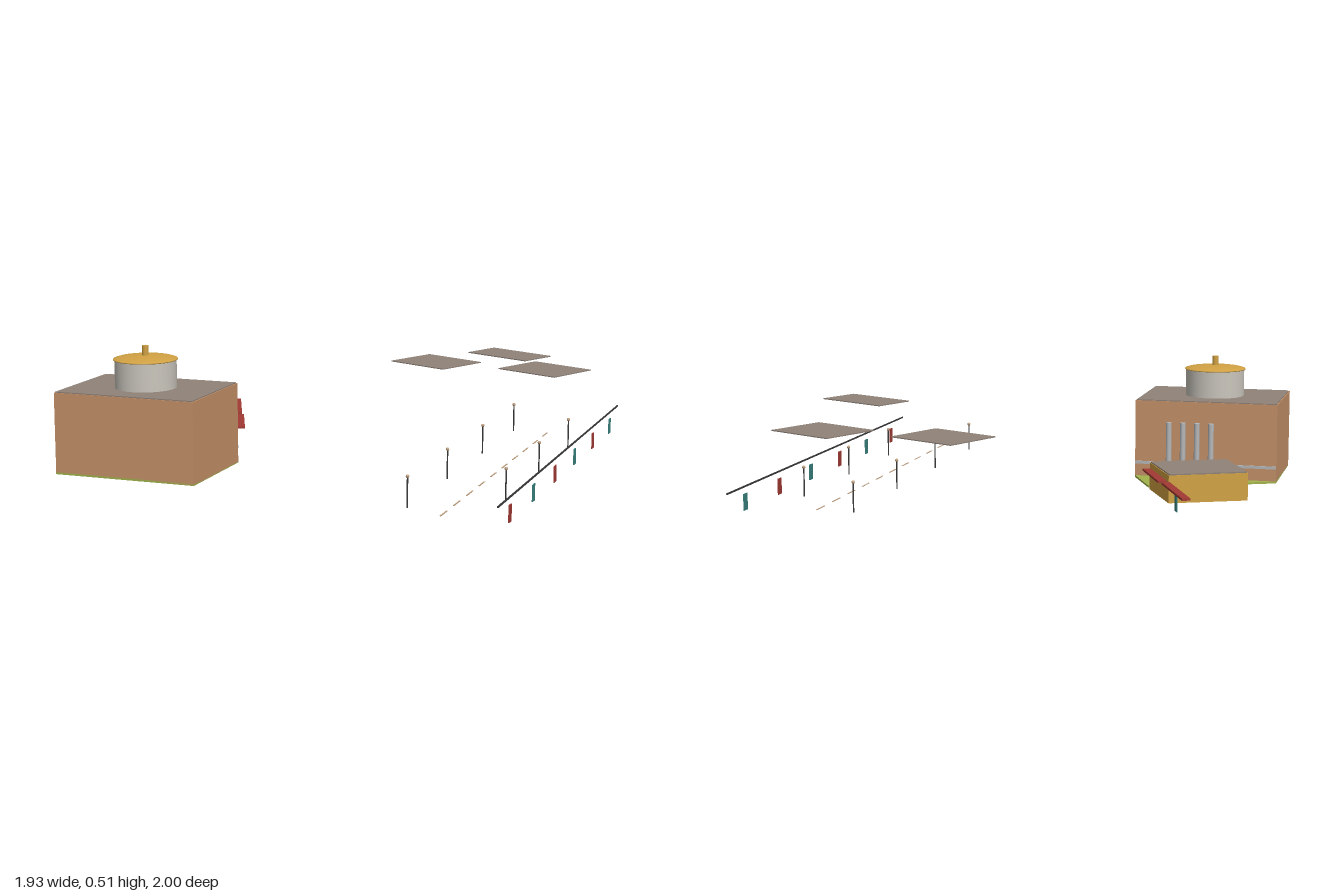
import * as THREE from 'three';

const mat = (name, color) => {
  const m = new THREE.MeshStandardMaterial({ color });
  m.name = name;
  return m;
};

export function createModel() {
  const root = new THREE.Group();
  root.name = 'stationBlock';

  const roofGrey = mat('roof grey', 0x8f8279);
  const brick = mat('brick tan', 0xc69269);
  const gold = mat('gold', 0xd2a244);
  const stone = mat('pale stone', 0xcac6bd);
  const lawn = mat('lawn green', 0xa2b34c);
  const red = mat('awning red', 0xa33a34);
  const teal = mat('banner teal', 0x3a8480);
  const dark = mat('dark metal', 0x3c3a3a);
  const silver = mat('silver', 0xb6b8ba);
  const tan = mat('lamp tan', 0xc0a080);

  const add = (name, geometry, material, x = 0, y = 0, z = 0, parent = root) => {
    const mesh = new THREE.Mesh(geometry, material);
    mesh.name = name;
    mesh.position.set(x, y, z);
    parent.add(mesh);
    return mesh;
  };

  // Flat prism from ground-plan corners [x, z] between two heights
  const slab = (name, corners, y0, y1, material, parent = root) => {
    const shape = new THREE.Shape(corners.map(([x, z]) => new THREE.Vector2(x, -z)));
    const geometry = new THREE.ExtrudeGeometry(shape, { depth: y1 - y0, bevelEnabled: false });
    geometry.rotateX(-Math.PI / 2);
    return add(name, geometry, material, 0, y0, 0, parent);
  };

  // Shrink a plan towards its middle
  const inset = (corners, f) => {
    const cx = corners.reduce((s, p) => s + p[0], 0) / corners.length;
    const cz = corners.reduce((s, p) => s + p[1], 0) / corners.length;
    return corners.map(([x, z]) => [cx + (x - cx) * f, cz + (z - cz) * f]);
  };

  // Main hall on its lawn plot
  const hall = [[-0.964, 0.286], [-0.356, 0.276], [-0.35, 0.72], [-0.958, 0.731]];
  slab('lawn', [hall[0], [-0.462, 0.052], hall[1], hall[2], hall[3]], 0, 0.008, lawn);
  slab('hallWalls', hall, 0.003, 0.335, brick);
  slab('hallRoof', inset(hall, 0.985), 0.335, 0.339, roofGrey);
  const band = add('hallBand', new THREE.BoxGeometry(0.606, 0.012, 0.006), silver, -0.66, 0.066, 0.279);
  band.rotation.y = 0.0164;

  // Drum, shallow dome and finial
  const cx = -0.66, cz = 0.505;
  add('drum', new THREE.CylinderGeometry(0.126, 0.126, 0.12, 32), stone, cx, 0.396, cz);
  const domeProfile = [[0, 0], [0.131, 0], [0.131, 0.004], [0.115, 0.009], [0.08, 0.014], [0.04, 0.017], [0, 0.018]];
  add('dome', new THREE.LatheGeometry(domeProfile.map(p => new THREE.Vector2(...p)), 32), gold, cx, 0.453, cz);
  add('finial', new THREE.CylinderGeometry(0.013, 0.013, 0.045, 12), gold, cx, 0.488, cz);

  // Row of tall columns behind the hall
  for (let i = 0; i < 4; i++) {
    add('column', new THREE.CylinderGeometry(0.012, 0.012, 0.25, 12), silver, -0.695 + i * 0.06, 0.13, 0.214 - i * 0.001);
  }

  // Small annex, turned to the side street
  const annex = [[-0.905, -0.113], [-0.608, -0.255], [-0.475, 0.014], [-0.775, 0.156]];
  slab('annexWalls', annex, 0.001, 0.114, gold);
  slab('annexRoof', inset(annex, 0.98), 0.114, 0.119, roofGrey);

  // Two red awnings and the banner under the far one
  slab('nearAwning', [[-0.597, -0.246], [-0.565, -0.259], [-0.449, -0.006], [-0.481, 0.008]], 0.082, 0.091, red);
  slab('farAwning', [[-0.754, -0.572], [-0.724, -0.586], [-0.584, -0.282], [-0.614, -0.268]], 0.082, 0.091, red);
  const sign = add('awningBanner', new THREE.BoxGeometry(0.004, 0.066, 0.033), teal, -0.67, 0.037, -0.417);
  sign.rotation.y = 0.43;

  // Floating canopy roofs
  const canopies = [
    [0.305, [[0.106, -0.867], [0.39, -0.741], [0.285, -0.507], [0, -0.634]]],
    [0.305, [[0.615, -0.845], [0.899, -0.718], [0.793, -0.484], [0.508, -0.611]]],
    [0.4, [[0.494, -0.587], [0.781, -0.457], [0.71, -0.303], [0.424, -0.431]]],
  ];
  canopies.forEach(([y, corners]) => slab('canopyRoof', corners, y - 0.002, y + 0.002, roofGrey));

  // Long rail with alternating banners beneath
  add('rail', new THREE.BoxGeometry(0.005, 0.006, 2), dark, 0.964, 0.099, 0);
  for (let i = 0; i < 6; i++) {
    add('banner', new THREE.BoxGeometry(0.004, 0.066, 0.033), i % 2 ? teal : red, 0.964, 0.037, 0.833 - i / 3);
  }

  // Street lamps on both kerbs
  const lamp = (x, z) => {
    const group = new THREE.Group();
    group.name = 'streetLamp';
    group.position.set(x, 0, z);
    root.add(group);
    add('lampPost', new THREE.CylinderGeometry(0.003, 0.003, 0.118, 8), dark, 0, 0.059, 0, group);
    add('lampGlobe', new THREE.SphereGeometry(0.007, 10, 8), tan, 0, 0.121, 0, group);
  };
  [-0.75, -0.25, 0.25, 0.75].forEach(z => lamp(0.545, z));
  [-0.5, 0, 0.5].forEach(z => lamp(0.856, z));

  // Dashed centre line of the street
  for (let i = 0; i < 10; i++) {
    add('roadDash', new THREE.BoxGeometry(0.006, 0.002, 0.08), tan, 0.7, 0.002, 0.791 - i / 6);
  }

  return root;
}
